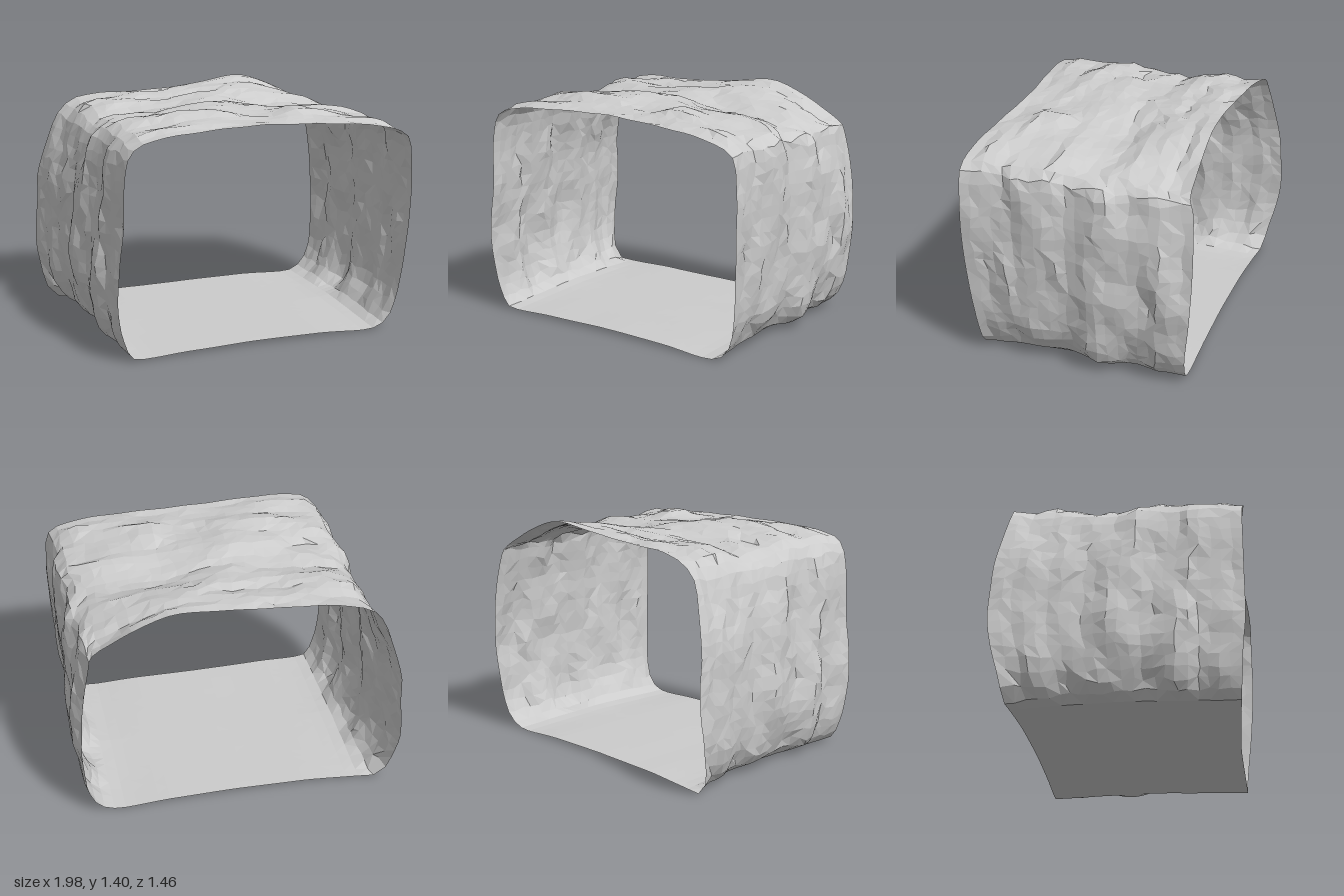
import * as THREE from 'three';

// Cross-section, counterclockwise from the middle of the floor: x, y, back z, front z
const SECTION = [
  [0, 0.025, -0.59, 0.65], [0.4, 0.022, -0.59, 0.66], [0.68, 0.02, -0.59, 0.67],
  [0.79, 0.035, -0.59, 0.67], [0.87, 0.09, -0.6, 0.67], [0.915, 0.21, -0.61, 0.68],
  [0.945, 0.5, -0.64, 0.71], [0.955, 0.8, -0.65, 0.73], [0.955, 1.05, -0.64, 0.73],
  [0.94, 1.2, -0.62, 0.73], [0.86, 1.27, -0.6, 0.73], [0.7, 1.31, -0.6, 0.72],
  [0.35, 1.335, -0.595, 0.69], [0, 1.338, -0.57, 0.67], [-0.4, 1.333, -0.59, 0.7],
  [-0.7, 1.305, -0.64, 0.72], [-0.81, 1.22, -0.64, 0.71], [-0.85, 1.05, -0.67, 0.71],
  [-0.88, 0.8, -0.71, 0.71], [-0.91, 0.5, -0.73, 0.71], [-0.905, 0.3, -0.7, 0.69],
  [-0.87, 0.13, -0.65, 0.68], [-0.77, 0.035, -0.62, 0.67], [-0.4, 0.022, -0.6, 0.66],
];
// Outward swelling along the depth, from back to front
const LEFT = [0.075, 0.055, 0.01, 0, 0.015, -0.01, 0, -0.04, -0.045];
const ROOF = [0.02, 0.015, 0, -0.02, -0.005, 0.01, 0.01, 0, -0.005];
const RIGHT = [0, 0.04, 0.005, 0.03, -0.005, -0.015, 0, -0.005, 0.005];
// Local swellings and hollows: x, y, z, radius, outward amount
const BUMPS = [
  [0.9, 1.22, -0.55, 0.35, -0.09], [0.9, 1.22, 0, 0.25, -0.025], [0.4, 1.34, -0.58, 0.25, 0.05],
  [-0.2, 1.34, 0.4, 0.25, 0.025], [-0.15, 1.34, 0, 0.22, 0.025],
  [0.35, 1.34, 0, 0.2, -0.03], [-0.9, 0.85, -0.55, 0.2, 0.02],
];
const AROUND = 84, DEPTH = 22;
const { lerp, smoothstep, clamp } = THREE.MathUtils;

// Smooth reading of a short table
function sample(table, s) {
  const f = s * (table.length - 1), i = Math.min(Math.floor(f), table.length - 2);
  return lerp(table[i], table[i + 1], smoothstep(f - i, 0, 1));
}

// Repeatable value in -1..1 for a grid cell
function hash(i, j, k) {
  const v = Math.sin(i * 127.1 + j * 311.7 + k * 74.7) * 43758.5453;
  return (v - Math.floor(v)) * 2 - 1;
}

// Smooth noise, wrapping around the section after the given number of cells
function noise(u, v, cells, k) {
  const a = u * cells, i = Math.floor(a), j = Math.floor(v);
  const f = smoothstep(a - i, 0, 1), g = smoothstep(v - j, 0, 1);
  const at = (m, n) => hash(m % cells, n, k);
  return lerp(lerp(at(i, j), at(i + 1, j), f), lerp(at(i, j + 1), at(i + 1, j + 1), f), g);
}

function shellGeometry() {
  const [back, front] = [2, 3].map((z) => new THREE.CatmullRomCurve3(
    SECTION.map((p) => new THREE.Vector3(p[0], p[1], p[z])), true, 'catmullrom', 0.4));
  const positions = [], index = [];

  for (let j = 0; j <= DEPTH; j++) {
    const s = j / DEPTH, inner = j === 0 || j === DEPTH ? 0 : 1;
    for (let i = 0; i < AROUND; i++) {
      const u = i / AROUND, t = back.getUtoTmapping(u);
      const p = back.getPoint(t).lerp(front.getPoint(t), s);
      const tangent = back.getTangent(t);
      const normal = new THREE.Vector2(tangent.y, -tangent.x).normalize();

      // The floor stays flat, the walls and roof are rough
      const rough = smoothstep(p.y, 0.02, 0.09);
      const roof = smoothstep(p.y, 1.15, 1.3);
      const wall = p.x < 0
        ? sample(LEFT, s) * (1 - 0.6 * smoothstep(p.y, 0.75, 1.2)) : sample(RIGHT, s);
      let push = lerp(wall, sample(ROOF, s), roof);
      for (const [x, y, z, radius, amount] of BUMPS) {
        const d = p.distanceTo(new THREE.Vector3(x, y, z)) / radius;
        push += amount * Math.exp(-d * d);
      }

      // Ridges run along the section, smaller lumps break them up
      push += (0.4 + 0.6 * inner) * (0.024 * noise(u, s * 11, 18, 1) + 0.014 * noise(u, s * 17, 40, 2));
      // The feet of the walls are scalloped
      const foot = 1 - smoothstep(p.y, 0.1, 0.3);
      push += foot * inner * (0.025 * noise(u, s * 10, 12, 6) - 0.008);
      push *= rough;
      const slide = rough * inner * 0.014;
      const along = slide * hash(i, j, 5);

      // The floor dips slightly at its four corners
      const dip = 0.02 * smoothstep(Math.abs(p.x), 0.4, 0.85) * Math.abs(2 * s - 1)
        * (1 - smoothstep(p.y, 0.03, 0.2));

      positions.push(
        clamp(p.x + normal.x * push - normal.y * along, -1, 1),
        Math.max(0, p.y + normal.y * push + normal.x * along - dip),
        p.z + slide * hash(i, j, 3));
    }
  }

  for (let j = 0; j < DEPTH; j++) {
    for (let i = 0; i < AROUND; i++) {
      const a = j * AROUND + i, b = j * AROUND + (i + 1) % AROUND;
      const c = a + AROUND, d = b + AROUND;
      // Vary the diagonals for irregular facets
      if (hash(i, j, 4) > 0) index.push(a, b, d, a, d, c);
      else index.push(a, b, c, b, d, c);
    }
  }

  const geometry = new THREE.BufferGeometry();
  geometry.setAttribute('position', new THREE.Float32BufferAttribute(positions, 3));
  geometry.setIndex(index);
  geometry.computeVertexNormals();
  return geometry;
}

export function createModel() {
  const group = new THREE.Group();
  group.name = 'rockTunnel';
  // Open tunnel: floor, walls and roof in one thin skin
  const shell = new THREE.Mesh(shellGeometry(), new THREE.MeshStandardMaterial({
    color: 0xcccccc, flatShading: true, side: THREE.DoubleSide,
  }));
  shell.name = 'tunnelShell';
  group.add(shell);
  return group;
}
